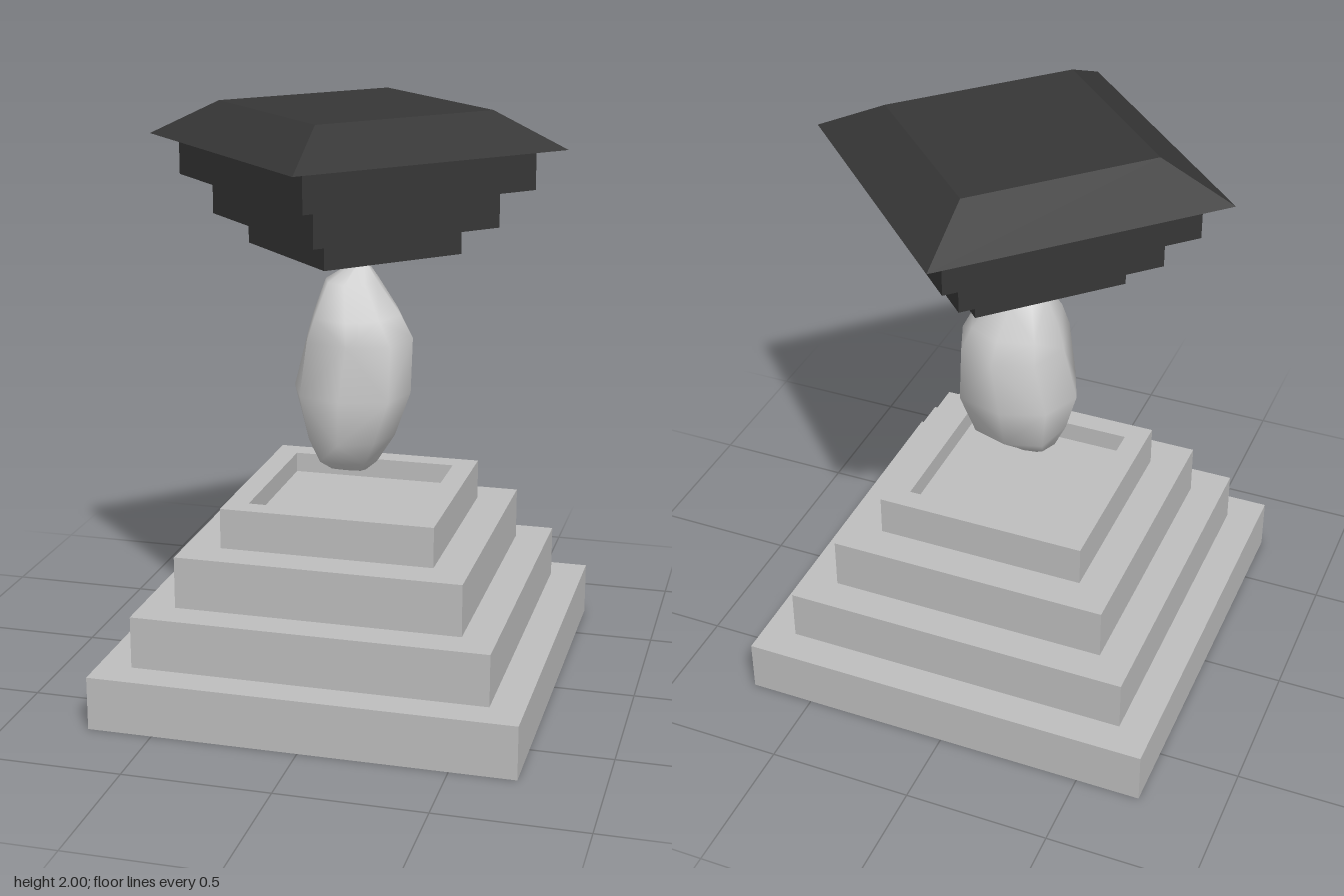
import * as THREE from 'three';

const stone = new THREE.MeshStandardMaterial({ color: 0xbebebe });
stone.name = 'pale stone';
const dark = new THREE.MeshStandardMaterial({ color: 0x363636 });
dark.name = 'dark stone';
const red = new THREE.MeshStandardMaterial({ color: 0xcc2222 });
red.name = 'red panel';
const crystal = new THREE.MeshStandardMaterial({ color: 0xd0d0d0 });
crystal.name = 'pale rock';

function add(group, name, geometry, material) {
  const mesh = new THREE.Mesh(geometry, material);
  mesh.name = name;
  group.add(mesh);
  return mesh;
}

// Four-sided block with its corners on the x and z axes
function block(rTop, rBottom, y0, y1) {
  const g = new THREE.CylinderGeometry(rTop, rBottom, y1 - y0, 4).toNonIndexed();
  g.computeVertexNormals();
  return g.translate(0, (y0 + y1) / 2, 0);
}

// Square frame with its corners on the x and z axes
function frame(outer, inner, y0, y1) {
  const corners = (r) => [[r, 0], [0, r], [-r, 0], [0, -r]].map(([x, y]) => new THREE.Vector2(x, y));
  const shape = new THREE.Shape(corners(outer));
  shape.holes.push(new THREE.Path(corners(inner).reverse()));
  const g = new THREE.ExtrudeGeometry(shape, { depth: y1 - y0, bevelEnabled: false });
  return g.rotateX(-Math.PI / 2).translate(0, y0, 0);
}

// Floating rock lofted through irregular rings: y, xMin, xMax, zMin, zMax
function rockGeometry() {
  const rings = [
    [0.75, -0.08, 0.05, 0.0, 0.05],
    [0.785, -0.12, 0.09, -0.04, 0.1],
    [0.88, -0.165, 0.15, -0.155, 0.19],
    [1.03, -0.21, 0.2, -0.195, 0.19],
    [1.22, -0.163, 0.205, -0.2, 0.185],
    [1.3, -0.138, 0.165, -0.165, 0.17],
    [1.41, -0.1, 0.08, -0.11, 0.09],
    [1.48, 0.01, 0.03, -0.05, -0.02],
  ];
  const sides = 8;
  const positions = [];
  const index = [];
  rings.forEach(([y, x0, x1, z0, z1], j) => {
    for (let i = 0; i < sides; i++) {
      const a = (i / sides) * Math.PI * 2;
      const k = i % 2 ? 1.06 + 0.07 * Math.sin(i * 2.3 + j * 1.7) : 1;
      positions.push(
        (x0 + x1) / 2 + (k * Math.cos(a) * (x1 - x0)) / 2,
        y,
        (z0 + z1) / 2 + (k * Math.sin(a) * (z1 - z0)) / 2,
      );
    }
  });
  for (let j = 0; j < rings.length - 1; j++) {
    for (let i = 0; i < sides; i++) {
      const a = j * sides + i;
      const b = j * sides + ((i + 1) % sides);
      const c = a + sides;
      const d = b + sides;
      if ((i + j) % 2) index.push(a, c, b, b, c, d);
      else index.push(a, c, d, a, d, b);
    }
  }
  // Closed ends
  const top = (rings.length - 1) * sides;
  for (let i = 1; i < sides - 1; i++) {
    index.push(0, i, i + 1);
    index.push(top, top + i + 1, top + i);
  }
  const g = new THREE.BufferGeometry();
  g.setAttribute('position', new THREE.Float32BufferAttribute(positions, 3));
  g.setIndex(index);
  g.computeVertexNormals();
  return g;
}

export function createModel() {
  const model = new THREE.Group();
  model.name = 'floatingRockShrine';

  // Stepped pedestal, square to the front
  const pedestal = new THREE.Group();
  pedestal.name = 'pedestal';
  pedestal.rotation.y = Math.PI / 4;
  const q = Math.SQRT2;
  [[0.722, 0, 0.185], [0.607, 0.185, 0.365], [0.49, 0.365, 0.545], [0.367, 0.545, 0.615]].forEach(
    ([half, y0, y1], i) => add(pedestal, `pedestalStep${i + 1}`, block(half * q, half * q, y0, y1), stone),
  );
  add(pedestal, 'pedestalRim', frame(0.367 * q, 0.29 * q, 0.615, 0.685), stone);
  model.add(pedestal);

  add(model, 'rock', rockGeometry(), crystal);

  // Inverted stepped canopy, turned by an eighth
  const canopy = new THREE.Group();
  canopy.name = 'canopy';
  add(canopy, 'canopyRim', frame(0.369, 0.285, 1.52, 1.615), dark);
  add(canopy, 'redPanel', block(0.287, 0.287, 1.59, 1.598), red);
  add(canopy, 'canopyStep1', block(0.495, 0.495, 1.615, 1.745), dark);
  add(canopy, 'canopyStep2', block(0.612, 0.612, 1.745, 1.88), dark);
  add(canopy, 'canopyCap', block(0.467, 0.716, 1.88, 2), dark);
  model.add(canopy);

  return model;
}
